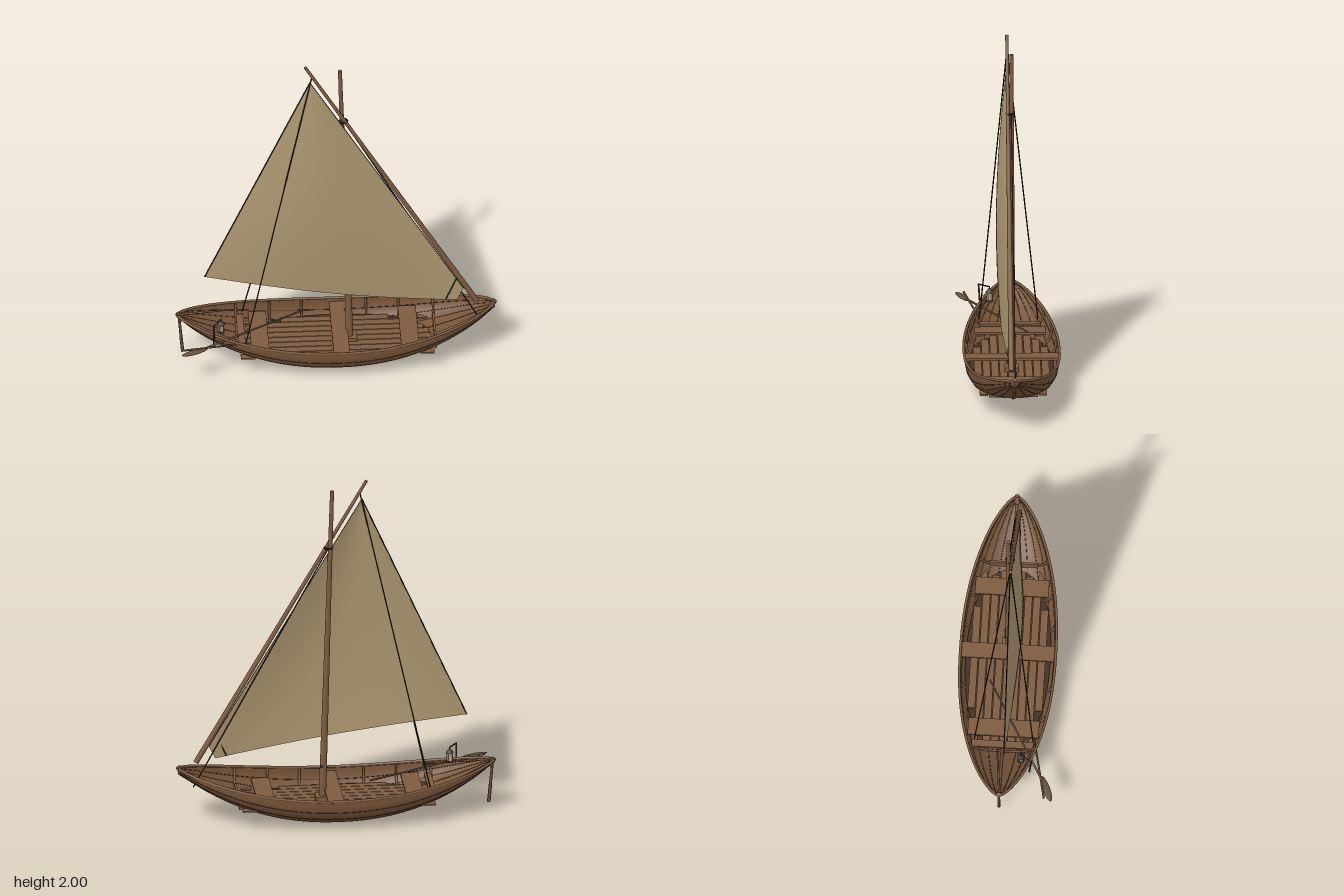
import * as THREE from 'three';

const mat = (name, color, side = THREE.FrontSide) => {
  const m = new THREE.MeshStandardMaterial({ color, side });
  m.name = name;
  return m;
};
const V = (x, y, z) => new THREE.Vector3(x, y, z);

// Hull form: half beam, sheer height and keel height along x
const L = 0.885, ZC = -0.015, P = 2.5;
const rel = x => Math.min(1, Math.abs(x) / L);
const beam = x => 0.266 * Math.pow(1 - Math.pow(rel(x), 2.2), 0.7);
const sheer = x => 0.193 + (x < 0 ? 0.113 : 0.132) * rel(x) ** 2;
const keel = x => 0.008 + 0.29 * Math.pow(rel(x), 2.2);
// Point on the hull: s runs from -1 (back rail) through 0 (keel) to 1 (front rail)
function hullPoint(x, s, k = 1) {
  const a = Math.abs(s) * Math.PI / 2;
  const w = Math.pow(Math.sin(a), 2 / P), d = Math.pow(Math.max(0, Math.cos(a)), 2 / P);
  return V(x, sheer(x) - (sheer(x) - keel(x)) * d * k, ZC + Math.sign(s) * beam(x) * w * k);
}
function halfAt(x, y) {
  const d = (sheer(x) - y) / (sheer(x) - keel(x));
  return d >= 1 ? 0 : beam(x) * Math.pow(1 - Math.pow(Math.max(0, d), P), 1 / P);
}

// Grid surface from a function of u, v in 0..1
function surface(nu, nv, f) {
  const pos = [], idx = [];
  for (let j = 0; j <= nv; j++) for (let i = 0; i <= nu; i++) pos.push(...f(i / nu, j / nv).toArray());
  for (let j = 0; j < nv; j++) for (let i = 0; i < nu; i++) {
    const a = j * (nu + 1) + i, b = a + nu + 1;
    idx.push(a, a + 1, b, a + 1, b + 1, b);
  }
  const g = new THREE.BufferGeometry();
  g.setAttribute('position', new THREE.Float32BufferAttribute(pos, 3));
  g.setIndex(idx);
  g.computeVertexNormals();
  return g;
}

export function createModel() {
  const model = new THREE.Group();
  model.name = 'sailingBoat';
  const wood = mat('wood', 0x7d5b40);
  const hullWood = mat('hull wood', 0x775439, THREE.DoubleSide);
  const poleWood = mat('pole wood', 0x66503a);
  const seam = mat('dark seam', 0x3f2d20);
  const rope = mat('rope', 0x28231c);
  const cloth = mat('sail cloth', 0xab966f, THREE.DoubleSide);
  const iron = mat('iron', 0x45403a);
  const glass = mat('lantern glass', 0xb8a67c);

  const add = (name, geo, m, parent = model) => {
    const mesh = new THREE.Mesh(geo, m);
    mesh.name = name;
    parent.add(mesh);
    return mesh;
  };
  const box = (name, sx, sy, sz, x, y, z, m, parent) => {
    const b = add(name, new THREE.BoxGeometry(sx, sy, sz), m, parent);
    b.position.set(x, y, z);
    return b;
  };
  // Straight round bar from a to b
  const bar = (name, a, b, ra, rb, m, sides = 10) => {
    const d = b.clone().sub(a);
    const c = add(name, new THREE.CylinderGeometry(rb, ra, d.length(), sides), m);
    c.position.copy(a).add(b).multiplyScalar(0.5);
    c.quaternion.setFromUnitVectors(V(0, 1, 0), d.normalize());
    return c;
  };
  const tube = (name, pts, r, m, seg = 48, sides = 6) =>
    add(name, new THREE.TubeGeometry(new THREE.CatmullRomCurve3(pts), seg, r, sides), m);
  const along = (n, f) => Array.from({ length: n + 1 }, (_, i) => f(i / n));
  const hullX = t => L * Math.sin((t - 0.5) * Math.PI);

  // Hull shell, plank seams, rails and stem
  add('hull', surface(60, 32, (u, v) => hullPoint(hullX(u), v * 2 - 1)), hullWood);
  for (const s of [-1, 1]) {
    tube('gunwale', along(32, t => hullPoint(hullX(t), s)), 0.008, wood, 80);
    for (const k of [0.2, 0.4, 0.6, 0.8])
      tube('plankSeam', along(32, t => hullPoint(hullX(t) * 0.985, s * k)), 0.0022, seam, 64, 4);
    // Small cleats low on the sides
    for (const x of [-0.5, 0.5]) box('sideCleat', 0.08, 0.008, 0.045, x, 0.122, ZC + s * 0.165, wood);
  }
  tube('keelStrip', along(32, t => hullPoint(hullX(t), 0)), 0.008, wood, 80);
  for (const s of [-1, 1])
    bar('stemHead', V(s * 0.86, sheer(0.86 * s) - 0.03, ZC), V(s * 0.885, sheer(0.885 * s) + 0.008, ZC), 0.014, 0.014, wood);

  // Ribs on the inside
  for (const x of [-0.55, -0.36, -0.18, 0.18, 0.36, 0.55])
    tube('rib', along(20, t => hullPoint(x, t * 2 - 1, 0.965)), 0.007, wood, 30, 5);

  // Floor boards, each as long as the hull allows
  const floorY = 0.105;
  for (let i = -4; i <= 4; i++) {
    const z = i * 0.047;
    let x = 0.55;
    while (x > 0.1 && halfAt(x, floorY) < Math.abs(z) + 0.03) x -= 0.01;
    box('floorBoard', 2 * x, 0.01, 0.042, 0, floorY, ZC + z, wood);
  }
  const under = new THREE.Shape(along(40, t => {
    const x = Math.cos(t * Math.PI * 2) * 0.55;
    return new THREE.Vector2(x, Math.sign(0.5 - t) * (halfAt(x, floorY) - 0.012));
  }));
  const shadowBoard = add('floorGap', new THREE.ShapeGeometry(under), seam);
  shadowBoard.rotation.x = -Math.PI / 2;
  shadowBoard.position.set(0, floorY - 0.003, ZC);

  // Thwarts and the narrow end boards
  for (const [x, w, y] of [[-0.43, 0.1, 0.16], [0.02, 0.09, 0.165], [0.405, 0.1, 0.16], [-0.53, 0.04, 0.165]]) {
    const h = Math.min(halfAt(x - w / 2, y), halfAt(x + w / 2, y)) - 0.004;
    box('thwart', w, 0.014, 2 * h, x, y, ZC, wood);
  }
  box('endFrame', 0.012, 0.05, 2 * halfAt(0.55, 0.14) - 0.02, 0.55, 0.14, ZC, wood);

  // Mast with foot block, and the long slanting yard
  bar('mast', V(0.077, 0.09, -0.014), V(0.022, 1.95, -0.014), 0.021, 0.011, wood, 14);
  box('mastFoot', 0.08, 0.03, 0.08, 0.077, 0.118, -0.014, wood);
  bar('yard', V(0.782, 0.35, 0.002), V(-0.173, 1.997, 0.008), 0.016, 0.009, wood, 12);
  const lash = add('yardLashing', new THREE.TorusGeometry(0.022, 0.005, 6, 16), rope);
  lash.position.set(0.042, 1.61, -0.006);
  lash.rotation.x = Math.PI / 2;
  bar('belayingPin', V(0.045, 0.3, -0.018), V(0.09, 0.31, -0.035), 0.006, 0.006, iron, 6);

  // Billowing sail
  const peak = V(-0.147, 1.89, 0.005), clew = V(-0.735, 0.575, 0.005);
  const tack = V(0.673, 0.365, 0.005), throat = V(0.71, 0.44, 0.005);
  add('sail', surface(40, 36, (u, v) => {
    const foot = u < 0.95 ? clew.clone().lerp(tack, u / 0.95) : tack.clone().lerp(throat, (u - 0.95) / 0.05);
    const p = peak.clone().lerp(foot, v);
    p.z += 0.066 * Math.sin(Math.PI * u) * Math.sin(Math.PI * 0.72 * v);
    return p;
  }), cloth);

  // Ropes
  const head = V(-0.135, 1.93, 0.008);
  bar('leechRope', peak, clew, 0.0035, 0.0035, rope, 5);
  bar('frontShroud', head, V(-0.515, 0.2, 0.155), 0.0038, 0.0038, rope, 5);
  bar('backShroud', head, V(-0.515, 0.2, -0.172), 0.0038, 0.0038, rope, 5);
  bar('forestay', V(0.035, 1.62, -0.012), V(0.8, 0.21, -0.022), 0.0038, 0.0038, rope, 5);
  bar('tackRope', V(0.61, 0.375, 0.018), V(0.672, 0.515, 0.012), 0.0035, 0.0035, rope, 5);
  bar('luffRope', peak, throat, 0.002, 0.002, rope, 5);

  // Rudder post and tiller
  bar('rudderPost', V(-0.878, 0.31, ZC), V(-0.855, 0.055, ZC), 0.007, 0.009, poleWood, 8);
  const blade = box('rudderBlade', 0.018, 0.1, 0.012, -0.86, 0.105, ZC, poleWood);
  blade.rotation.z = 0.09;
  bar('tiller', V(-0.89, 0.308, ZC + 0.005), V(-0.605, 0.31, -0.04), 0.007, 0.005, poleWood, 8);

  // Oar with flat blade, and a loose pole
  const oarEnd = V(-0.8, 0.233, 0.245), oarGrip = V(-0.18, 0.243, -0.105);
  bar('oarShaft', oarEnd, oarGrip, 0.006, 0.005, poleWood, 8);
  const oarBlade = add('oarBlade', new THREE.SphereGeometry(1, 16, 8), poleWood);
  oarBlade.scale.set(0.08, 0.006, 0.022);
  oarBlade.position.set(-0.802, 0.233, 0.245);
  oarBlade.rotation.y = 0.4;
  bar('loosePole', V(-0.86, 0.24, 0.235), V(-0.5, 0.222, 0.16), 0.006, 0.005, poleWood, 8);

  // Lantern on a bent post
  bar('lanternPost', V(-0.69, 0.19, 0.145), V(-0.69, 0.345, 0.155), 0.005, 0.005, iron, 6);
  bar('lanternArm', V(-0.692, 0.344, 0.157), V(-0.648, 0.344, 0.095), 0.004, 0.004, iron, 6);
  const lantern = new THREE.Group();
  lantern.name = 'lantern';
  lantern.position.set(-0.648, 0.3, 0.095);
  model.add(lantern);
  const disc = (name, rt, rb, h, y, m) => {
    add(name, new THREE.CylinderGeometry(rt, rb, h, 10), m, lantern).position.y = y;
  };
  disc('lanternBase', 0.019, 0.021, 0.01, -0.038, iron);
  disc('lanternGlass', 0.016, 0.016, 0.045, -0.01, glass);
  disc('lanternCap', 0.006, 0.023, 0.022, 0.023, iron);
  disc('lanternHook', 0.003, 0.003, 0.014, 0.039, iron);
  for (let i = 0; i < 4; i++) {
    const a = i * Math.PI / 2 + 0.4;
    box('lanternBar', 0.004, 0.045, 0.004, Math.cos(a) * 0.017, -0.01, Math.sin(a) * 0.017, iron, lantern);
  }

  return model;
}
